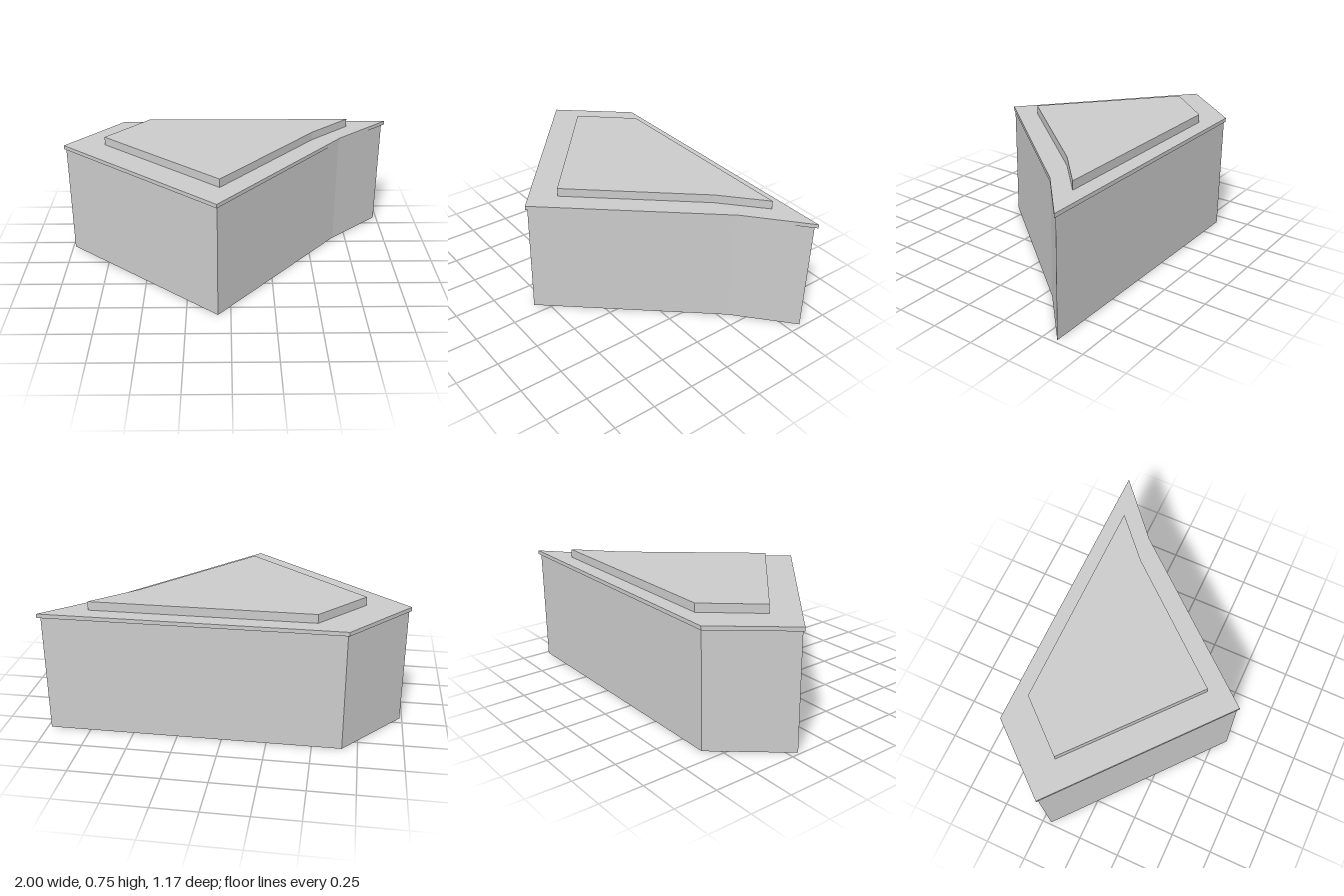
import * as THREE from 'three';

const material = new THREE.MeshStandardMaterial({ color: 0xcccccc });
const openMaterial = new THREE.MeshStandardMaterial({ color: 0xcccccc, side: THREE.DoubleSide });

// Plan outlines as [x, z], clockwise seen from above
const bodyPlan = [[-0.665, -0.579], [0.98, -0.579], [0.67, -0.3], [-0.073, 0.575], [-0.987, -0.2]];
const lidPlan = [[-0.672, -0.587], [1, -0.587], [0.68, -0.305], [-0.075, 0.587], [-1, -0.2]];
const platformPlan = [[-0.504, -0.495], [0.74, -0.495], [0.505, -0.28], [-0.06, 0.385], [-0.753, -0.21]];

// Solid slab rising from y0 to y1 over a plan outline
function slab(name, plan, y0, y1) {
  const shape = new THREE.Shape(plan.map(([x, z]) => new THREE.Vector2(x, -z)));
  const geometry = new THREE.ExtrudeGeometry(shape, { depth: y1 - y0, bevelEnabled: false });
  geometry.rotateX(-Math.PI / 2).translate(0, y0, 0);
  const mesh = new THREE.Mesh(geometry, material);
  mesh.name = name;
  return mesh;
}

// Open ring of thin walls along a plan outline
function walls(name, plan, y0, y1) {
  const positions = [];
  plan.forEach(([ax, az], i) => {
    const [bx, bz] = plan[(i + 1) % plan.length];
    positions.push(bx, y0, bz, ax, y0, az, ax, y1, az);
    positions.push(bx, y0, bz, ax, y1, az, bx, y1, bz);
  });
  const geometry = new THREE.BufferGeometry();
  geometry.setAttribute('position', new THREE.Float32BufferAttribute(positions, 3));
  geometry.computeVertexNormals();
  const mesh = new THREE.Mesh(geometry, openMaterial);
  mesh.name = name;
  return mesh;
}

export function createModel() {
  const group = new THREE.Group();
  group.name = 'building';
  const floorY = 0.167;
  group.add(
    walls('baseWalls', bodyPlan, 0, floorY), // hollow underneath
    slab('body', bodyPlan, floorY, 0.677),
    slab('roofSlab', lidPlan, 0.677, 0.7),
    slab('roofPlatform', platformPlan, 0.7, 0.75)
  );
  return group;
}
